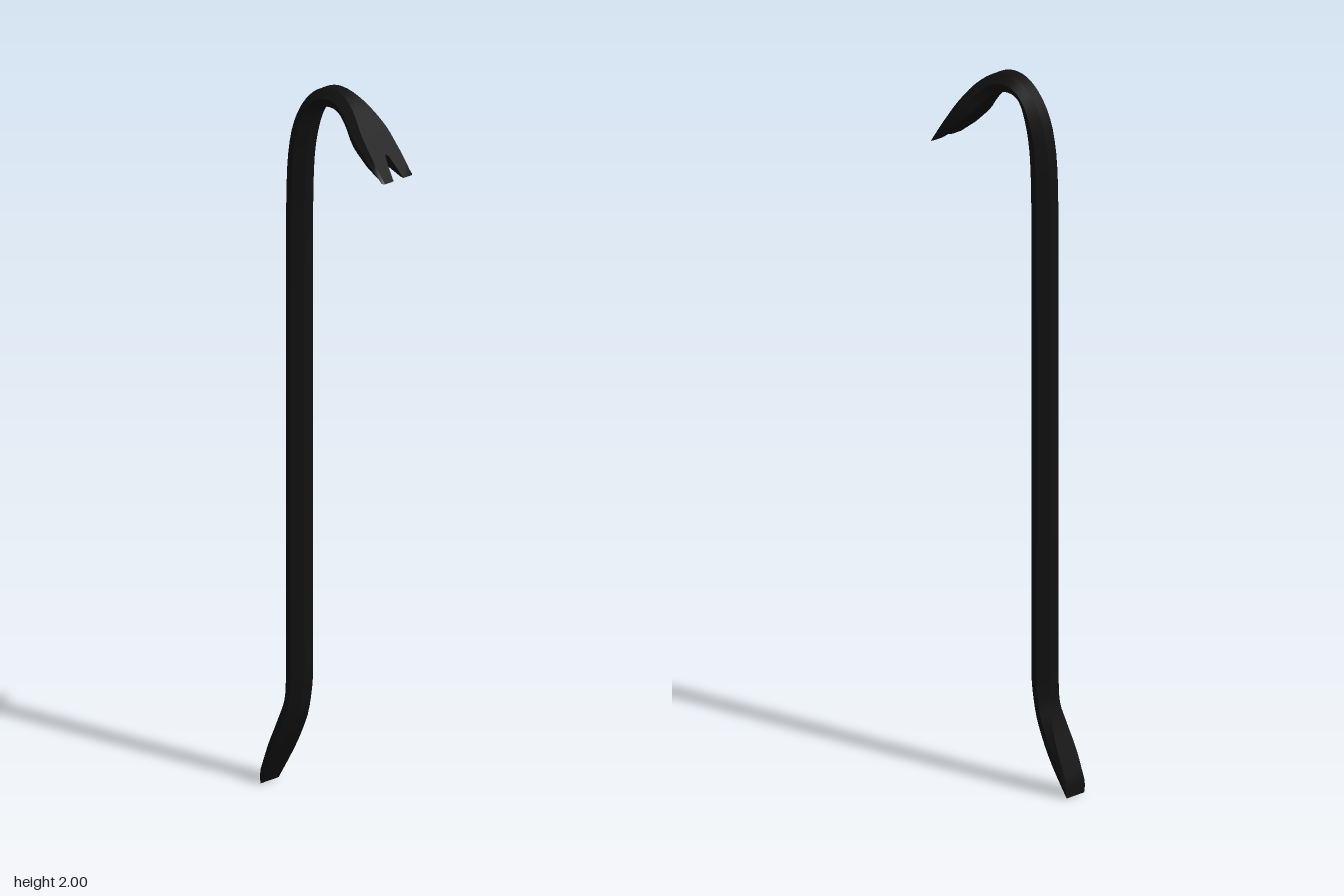
import * as THREE from 'three';
import { toCreasedNormals } from 'three/addons/utils/BufferGeometryUtils.js';

// Stations along the bar: outer x, y, inner x, y, half width, flatness (0.5 = regular hexagon)
const BAR = [
  [-0.225, 0.04, -0.225, 0.0, 0.042, 0.92],
  [-0.198, 0.115, -0.178, 0.08, 0.044, 0.9],
  [-0.169, 0.195, -0.132, 0.16, 0.042, 0.72],
  [-0.156, 0.245, -0.102, 0.23, 0.038, 0.55],
  [-0.153, 0.31, -0.089, 0.31, 0.037, 0.5],
  [-0.153, 0.4, -0.089, 0.4, 0.037, 0.5],
  [-0.153, 1.5, -0.089, 1.5, 0.037, 0.5],
  [-0.152, 1.64, -0.088, 1.64, 0.037, 0.5],
  [-0.145, 1.79, -0.082, 1.79, 0.037, 0.5],
  [-0.124, 1.885, -0.066, 1.875, 0.037, 0.5],
  [-0.085, 1.953, -0.044, 1.928, 0.037, 0.5],
  [-0.042, 1.989, -0.022, 1.943, 0.037, 0.5],
  [0.0, 2.0, 0.0, 1.946, 0.037, 0.5],
  [0.045, 1.99, 0.03, 1.938, 0.039, 0.55],
  [0.092, 1.957, 0.068, 1.907, 0.05, 0.68],
  [0.137, 1.903, 0.11, 1.863, 0.065, 0.82],
  [0.18, 1.843, 0.162, 1.818, 0.066, 0.9],
];
// Claw stations end with the half gap of the notch instead of the flatness
const CLAW = [
  [0.18, 1.843, 0.162, 1.818, 0.066, 0],
  [0.186, 1.835, 0.169, 1.813, 0.066, 0.007],
  [0.2, 1.815, 0.186, 1.801, 0.066, 0.013],
  [0.225, 1.779, 0.213, 1.782, 0.065, 0.021],
];

// Smooth the stations with splines through their outer and inner edges
function refine(stations, steps) {
  const outer = new THREE.CatmullRomCurve3(stations.map(s => new THREE.Vector3(s[0], s[1], s[4])));
  const inner = new THREE.CatmullRomCurve3(stations.map(s => new THREE.Vector3(s[2], s[3], s[5])));
  const n = (stations.length - 1) * steps;
  return Array.from({ length: n + 1 }, (_, i) => {
    const a = outer.getPoint(i / n), b = inner.getPoint(i / n);
    return [a.x, a.y, b.x, b.y, a.z, b.z];
  });
}

// Corner at depth t (0 outer, 1 inner) and sideways offset z
const corner = ([ox, oy, ix, iy], t, z) => [ox + (ix - ox) * t, oy + (iy - oy) * t, z];

const hexRing = s => {
  const w = s[4], e = w * s[5];
  return [[0, e], [0.5, w], [1, e], [1, -e], [0.5, -w], [0, -e]].map(([t, z]) => corner(s, t, z));
};

const prongRing = side => s => {
  const w = s[4], e = w * 0.9, g = s[5];
  const ring = [[0, e], [0.5, w], [1, e], [1, g], [0, g]].map(([t, z]) => corner(s, t, z * side));
  return side > 0 ? ring : ring.reverse();
};

// Skin a list of equal rings, closing the chosen ends
function loft(rings, capStart, capEnd) {
  const m = rings[0].length, index = [];
  for (let i = 0; i < rings.length - 1; i++) {
    for (let j = 0; j < m; j++) {
      const a = i * m + j, b = i * m + (j + 1) % m;
      index.push(a, b, b + m, a, b + m, a + m);
    }
  }
  const last = (rings.length - 1) * m;
  for (let j = 1; j < m - 1; j++) {
    if (capStart) index.push(0, j + 1, j);
    if (capEnd) index.push(last, last + j, last + j + 1);
  }
  const geometry = new THREE.BufferGeometry();
  geometry.setAttribute('position', new THREE.Float32BufferAttribute(rings.flat(2), 3));
  geometry.setIndex(index);
  return toCreasedNormals(geometry, Math.PI / 6);
}

export function createModel() {
  const group = new THREE.Group();
  group.name = 'crowbar';
  const steel = new THREE.MeshStandardMaterial({ color: 0x111111 });
  const add = (name, geometry) => {
    const mesh = new THREE.Mesh(geometry, steel);
    mesh.name = name;
    group.add(mesh);
  };

  // Hexagonal shaft with the chisel foot and curved neck
  add('bar', loft(refine(BAR, 3).map(hexRing), true, false));

  // Two prongs around the notch
  for (const side of [1, -1]) {
    add(side > 0 ? 'frontProng' : 'backProng', loft(CLAW.map(prongRing(side)), false, true));
  }
  return group;
}
